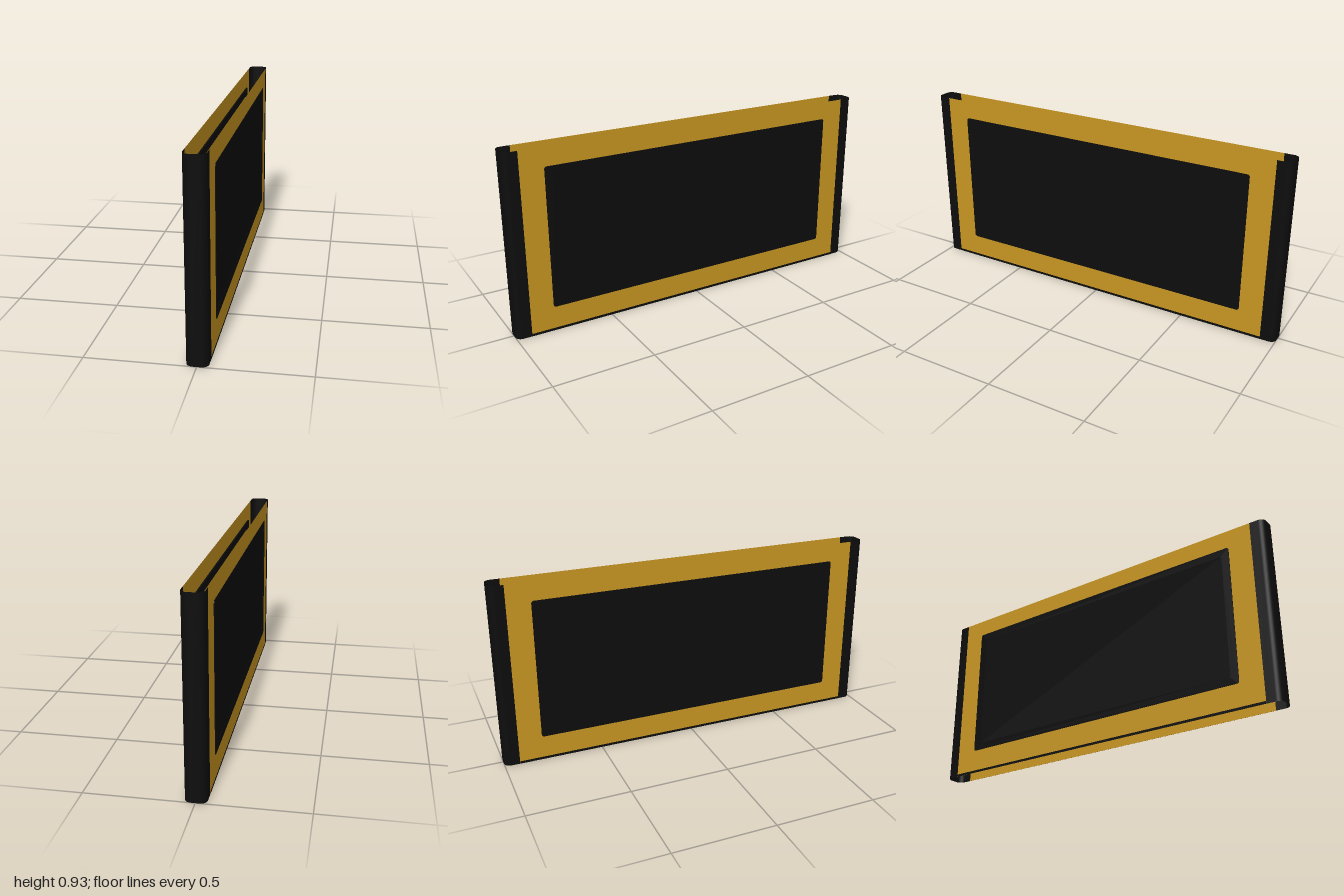
import * as THREE from 'three';

const gold = new THREE.MeshStandardMaterial({ color: 0xc99722, side: THREE.DoubleSide });
gold.name = 'gold';
const black = new THREE.MeshStandardMaterial({ color: 0x0d0d0d, side: THREE.DoubleSide });
black.name = 'black';

const H = 0.934;        // overall height
const HALF_X = 0.05;    // half thickness between the two panels
const PANEL_Z = 0.925;  // panels end here, rounded end posts continue to 1

function add(parent, name, geometry, material, x = 0, y = 0, z = 0) {
  const mesh = new THREE.Mesh(geometry, material);
  mesh.name = name;
  mesh.position.set(x, y, z);
  parent.add(mesh);
  return mesh;
}

function roundedRect(path, w, h, r) {
  const x = w / 2, y = h / 2;
  path.moveTo(-x + r, -y);
  path.lineTo(x - r, -y);
  path.absarc(x - r, -y + r, r, -Math.PI / 2, 0, false);
  path.lineTo(x, y - r);
  path.absarc(x - r, y - r, r, 0, Math.PI / 2, false);
  path.lineTo(-x + r, y);
  path.absarc(-x + r, y - r, r, Math.PI / 2, Math.PI, false);
  path.lineTo(-x, -y + r);
  path.absarc(-x + r, -y + r, r, Math.PI, Math.PI * 1.5, false);
  return path;
}

// Open upright channel with rounded outer corners, facing +z
function postGeometry() {
  const r = 0.03, steps = 8;
  const profile = [[-HALF_X, PANEL_Z]];
  for (const [cx, start] of [[-HALF_X + r, Math.PI], [HALF_X - r, Math.PI / 2]]) {
    for (let i = 0; i <= steps; i++) {
      const a = start - (i / steps) * Math.PI / 2;
      profile.push([cx + r * Math.cos(a), 1 - r + r * Math.sin(a)]);
    }
  }
  profile.push([HALF_X, PANEL_Z]);
  const n = profile.length;
  const geometry = new THREE.PlaneGeometry(1, H, n - 1, 1);
  const pos = geometry.attributes.position;
  for (let i = 0; i < pos.count; i++) {
    const [x, z] = profile[i % n];
    pos.setXYZ(i, x, pos.getY(i) + H / 2, z);
  }
  geometry.computeVertexNormals();
  return geometry;
}

// One face of the sign, looking toward +x
function createSide() {
  const side = new THREE.Group();
  const w = 1.614, h = 0.713, midY = 0.4835;

  const sheet = (sw, sh) => new THREE.PlaneGeometry(sw, sh).rotateY(Math.PI / 2);
  add(side, 'panel', sheet(PANEL_Z * 2, H), gold, HALF_X, H / 2);
  add(side, 'bottomTrim', sheet(PANEL_Z * 2, 0.013), black, HALF_X + 0.0008, 0.0065);

  // Raised frame around the display
  const shape = roundedRect(new THREE.Shape(), w, h, 0.012);
  shape.holes.push(roundedRect(new THREE.Path(), w - 0.08, h - 0.08, 0.006));
  const frame = new THREE.ExtrudeGeometry(shape, { depth: 0.01, bevelEnabled: false, curveSegments: 6 });
  add(side, 'displayFrame', frame.rotateY(Math.PI / 2), black, 0.043, midY);
  add(side, 'display', sheet(w - 0.07, h - 0.07), black, 0.0515, midY);
  return side;
}

export function createModel() {
  const model = new THREE.Group();
  model.name = 'doubleSidedSign';
  const post = postGeometry();
  for (const [i, turn] of [0, Math.PI].entries()) {
    const side = createSide();
    side.name = i ? 'rightSide' : 'leftSide';
    side.rotation.y = turn;
    model.add(side);
    add(model, i ? 'backPost' : 'frontPost', post, black).rotation.y = turn;
  }
  return model;
}
